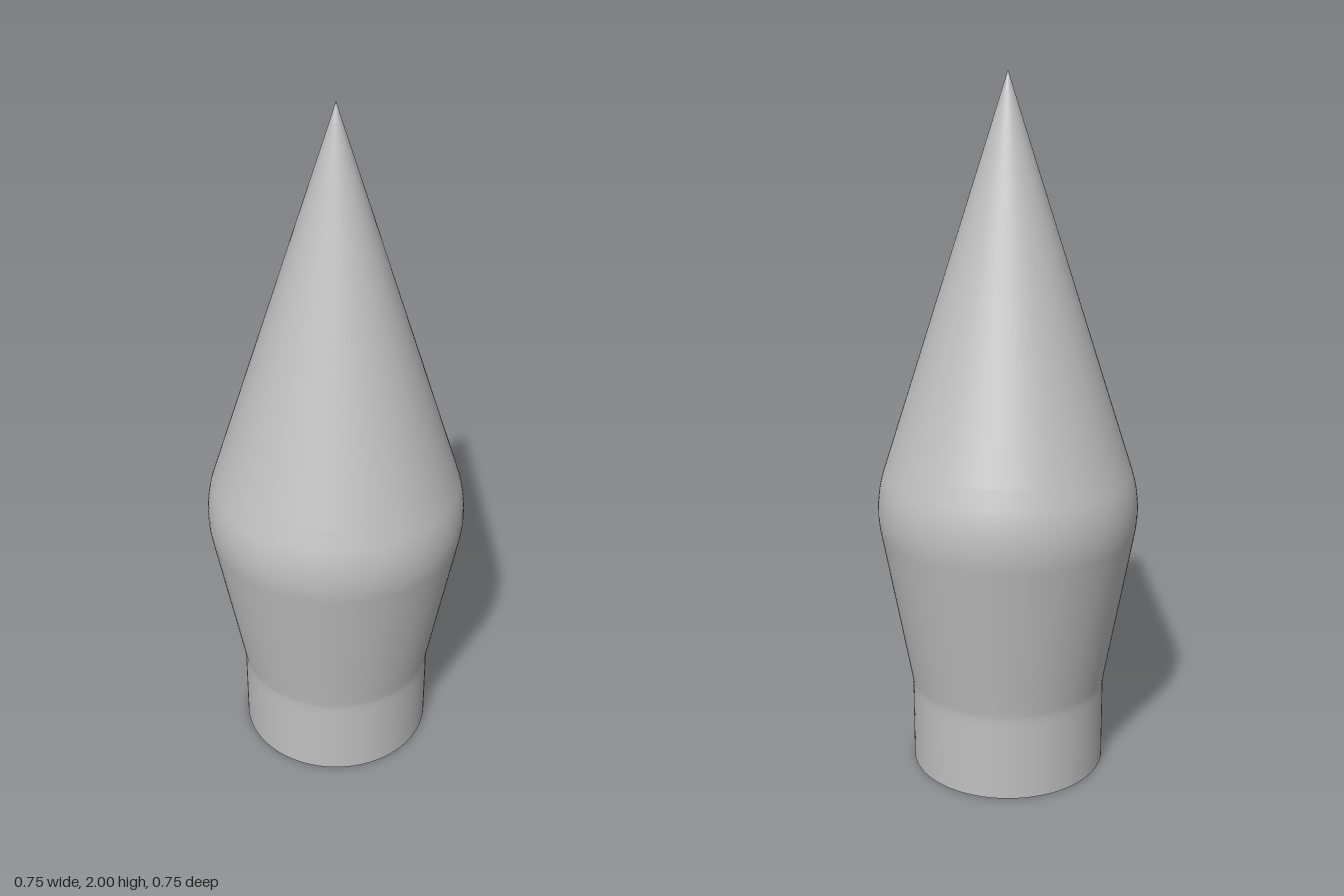
import * as THREE from 'three';

const SEGMENTS = 96;

export function createModel() {
  const model = new THREE.Group();
  model.name = 'pointedCap';
  const grey = new THREE.MeshStandardMaterial({ color: 0xc0c0c0 });
  grey.name = 'plain grey';

  const add = (name, geometry) => {
    const mesh = new THREE.Mesh(geometry, grey);
    mesh.name = name;
    model.add(mesh);
  };
  const lathe = (points) =>
    new THREE.LatheGeometry(points.map(([r, y]) => new THREE.Vector2(r, y)), SEGMENTS);

  // Rounded shoulder, tangent to the tapered body below and the cone above
  const shoulder = (radius, steps = 10) => {
    const from = -0.178, to = 0.312, centreY = 0.785, widest = 0.373;
    return Array.from({ length: steps + 1 }, (_, i) => {
      const a = from + ((to - from) * i) / steps;
      return [widest - 0.36 + radius * Math.cos(a), centreY + radius * Math.sin(a)];
    });
  };

  // Outer skin: straight neck, flaring body, shoulder, long point
  add('outerShell', lathe([
    [0.283, 0], [0.283, 0.22], [0.283, 0.245], [0.285, 0.26], [0.291, 0.295],
    ...shoulder(0.36),
    [0.339, 0.947], [0.016, 1.95], [0, 2],
  ]));

  // Hollow inside, following the skin at an even wall thickness
  const wall = 0.048;
  add('innerSocket', lathe([
    [0.283 - wall, 0], [0.283 - wall, 0.23], [0.238, 0.265],
    ...shoulder(0.36 - wall),
    [0, 1.85],
  ].reverse()));

  // Flat rim around the open end
  const rim = new THREE.RingGeometry(0.283 - wall, 0.283, SEGMENTS);
  rim.rotateX(Math.PI / 2);
  add('bottomRim', rim);

  return model;
}
